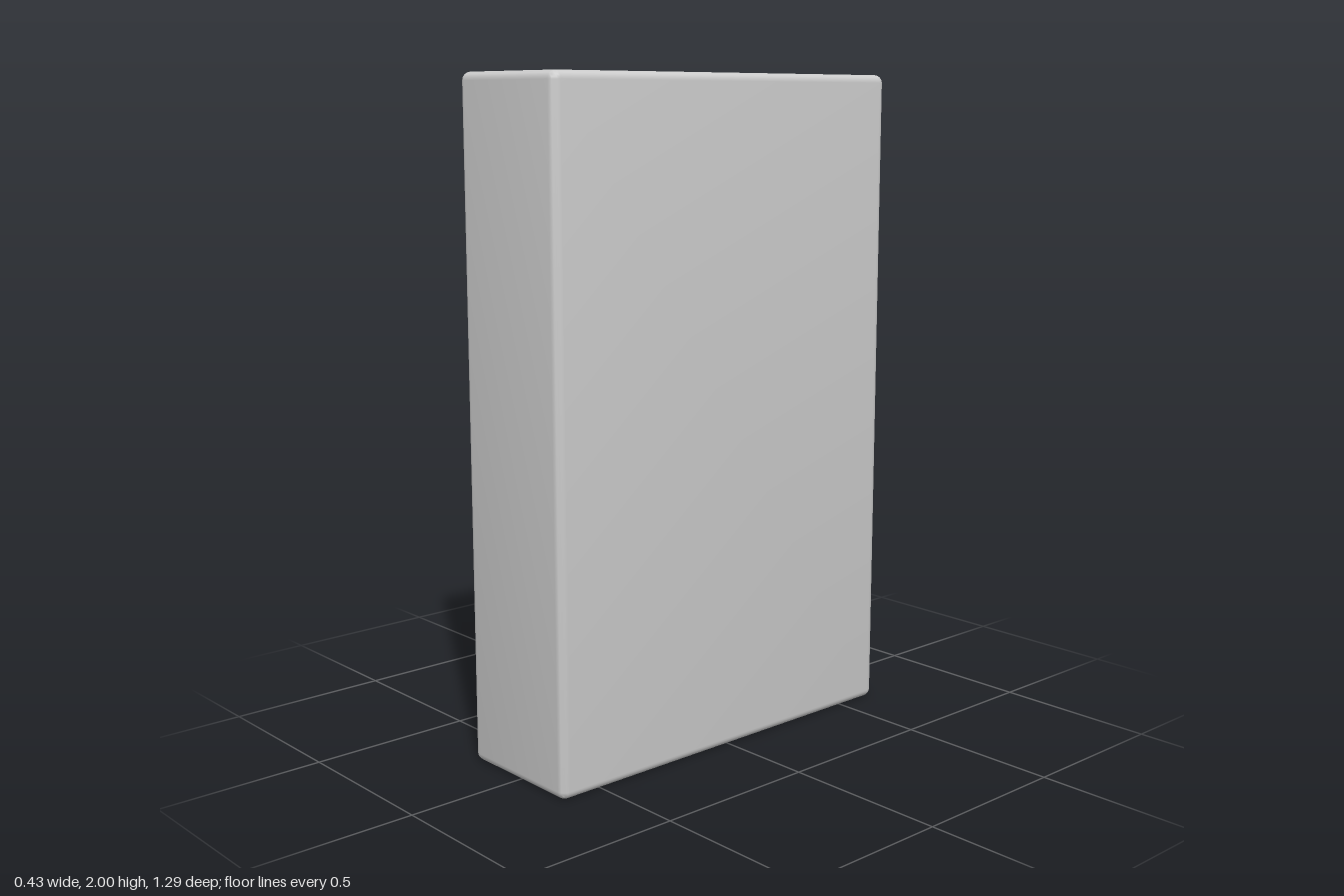
import * as THREE from 'three';
import { toCreasedNormals } from 'three/addons/utils/BufferGeometryUtils.js';

const HEIGHT = 2, HALF_W = 0.213, HALF_D = 0.643, BOARD = 0.057;
const INNER = HALF_W - BOARD;

// Closed outline from [x, z, cornerRadius] points; z is flipped for the upright extrusion
function roundedOutline(points) {
  const pts = points.map(([x, z, r]) => ({ p: new THREE.Vector2(x, -z), r }));
  const shape = new THREE.Shape();
  pts.forEach(({ p, r }, i) => {
    const toward = (q) => p.clone().add(q.clone().sub(p).setLength(r));
    const a = toward(pts[(i + pts.length - 1) % pts.length].p);
    const b = toward(pts[(i + 1) % pts.length].p);
    if (i === 0) shape.moveTo(a.x, a.y);
    else shape.lineTo(a.x, a.y);
    if (r > 0) {
      // Cubic approximation of a quarter circle
      const c1 = a.clone().lerp(p, 0.5523), c2 = b.clone().lerp(p, 0.5523);
      shape.bezierCurveTo(c1.x, c1.y, c2.x, c2.y, b.x, b.y);
    }
  });
  shape.closePath();
  return shape;
}

// Stands an outline upright between two heights with rounded rims
function uprightSolid(name, outline, y0, y1, bevel, bevelSegments) {
  const geometry = new THREE.ExtrudeGeometry(outline, {
    depth: y1 - y0 - 2 * bevel, curveSegments: 6, bevelEnabled: true,
    bevelThickness: bevel, bevelSize: bevel, bevelOffset: -bevel, bevelSegments,
  });
  geometry.rotateX(-Math.PI / 2).translate(0, y0 + bevel, 0);
  const mesh = new THREE.Mesh(
    toCreasedNormals(geometry, 0.6),
    new THREE.MeshStandardMaterial({ color: 0xcccccc }),
  );
  mesh.name = name;
  return mesh;
}

export function createModel() {
  const book = new THREE.Group();
  book.name = 'book';

  // Cover: two boards joined by the spine at the front
  const coverOutline = roundedOutline([
    [-HALF_W, HALF_D, 0.025],
    [HALF_W, HALF_D, 0.025],
    [HALF_W, -HALF_D, 0.027],
    [INNER, -HALF_D, 0.027],
    [INNER, 0.586, 0.03],
    [-INNER, 0.586, 0.03],
    [-INNER, -HALF_D, 0.027],
    [-HALF_W, -HALF_D, 0.027],
  ]);
  book.add(uprightSolid('cover', coverOutline, 0, HEIGHT, 0.024, 6));

  // Page block, set in from the cover at the top, bottom and back
  const pageOutline = roundedOutline([
    [-INNER - 0.001, 0.586, 0.03],
    [INNER + 0.001, 0.586, 0.03],
    [INNER + 0.001, -0.566, 0],
    [-INNER - 0.001, -0.566, 0],
  ]);
  book.add(uprightSolid('pages', pageOutline, 0.08, HEIGHT - 0.08, 0.006, 1));

  return book;
}
